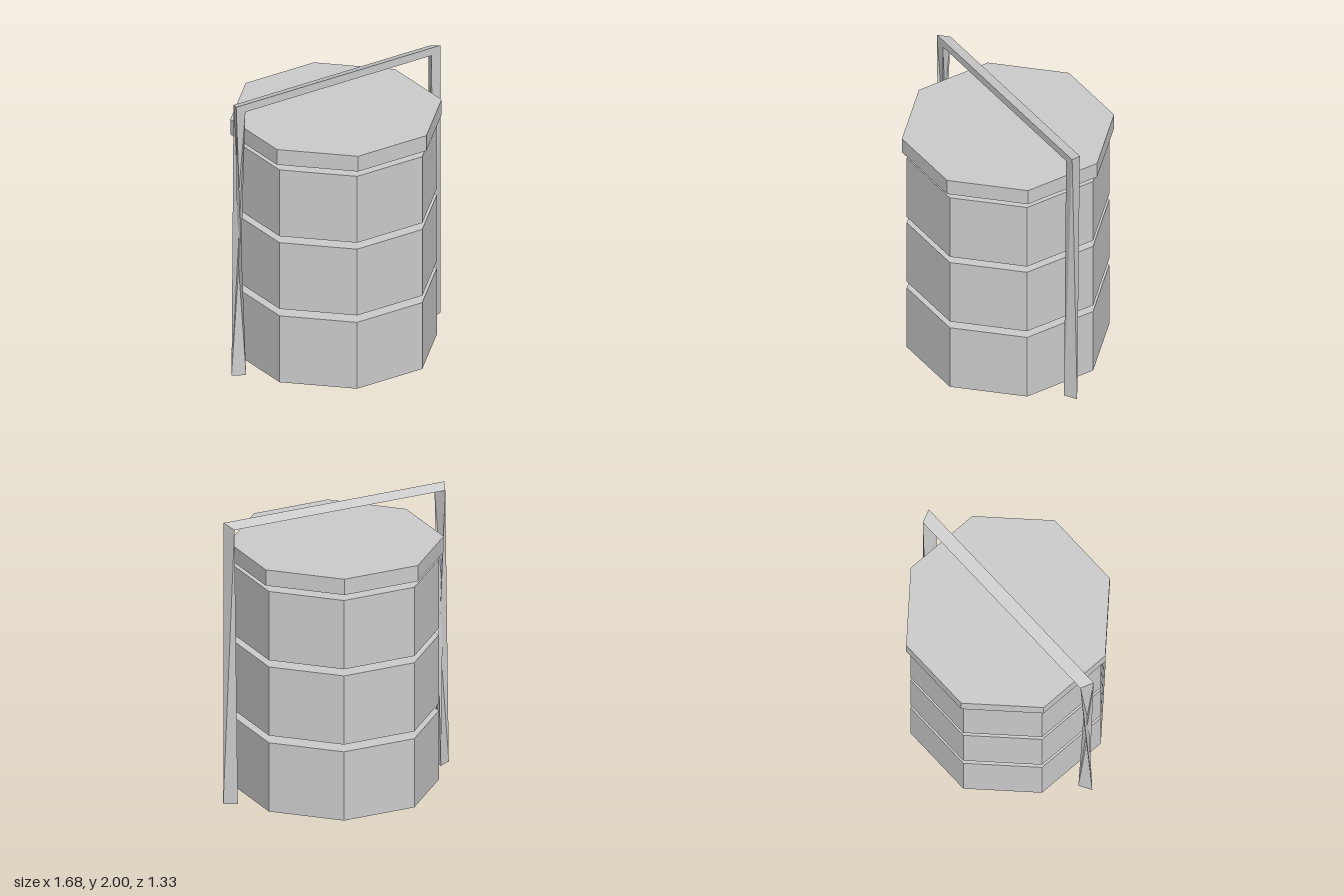
import * as THREE from 'three';

const metal = new THREE.MeshStandardMaterial({ color: 0xcccccc });
metal.name = 'light grey metal';
const handleMetal = metal;
handleMetal.side = THREE.DoubleSide; // the thin twisted handle needs both sides

// Flat-sided octagonal drum with a flat face towards the front
function drum(name, apothem, y0, y1) {
  const r = apothem / Math.cos(Math.PI / 8);
  const indexed = new THREE.CylinderGeometry(r, r, y1 - y0, 8, 1).rotateY(Math.PI / 8);
  const geometry = indexed.toNonIndexed();
  geometry.computeVertexNormals();
  const mesh = new THREE.Mesh(geometry, metal);
  mesh.name = name;
  mesh.position.y = (y0 + y1) / 2;
  return mesh;
}

// Faceted bar through triangular cross-sections, capped at both ends
function loft(sections) {
  const pos = [];
  const tri = (...pts) => pts.forEach((p) => pos.push(...p));
  for (let i = 0; i + 1 < sections.length; i++) {
    const lo = sections[i], hi = sections[i + 1];
    for (let j = 0; j < 3; j++) {
      const k = (j + 1) % 3;
      tri(lo[j], hi[j], lo[k]);
      tri(lo[k], hi[j], hi[k]);
    }
  }
  tri(...sections[0]);
  tri(...[...sections[sections.length - 1]].reverse());
  const geometry = new THREE.BufferGeometry();
  geometry.setAttribute('position', new THREE.Float32BufferAttribute(pos, 3));
  geometry.computeVertexNormals();
  return geometry;
}

export function createModel() {
  const model = new THREE.Group();
  model.name = 'stackedFoodCarrier';

  // Three stacked containers and the wider lid
  [[0, 0.493], [0.545, 1.037], [1.085, 1.578]].forEach(([y0, y1], i) => {
    model.add(drum(`container${i + 1}`, 0.634, y0, y1));
  });
  model.add(drum('lid', 0.664, 1.63, 1.743));

  // Carrying handle: one leg nearly straight, the other twisted
  const foot = [[0.842, 0, 0], [0.758, 0, 0.049], [0.758, 0, -0.049]];
  const corner = [[0.824, 2, 0.028], [0.75, 1.944, 0.028], [0.787, 1.972, -0.057]];
  const mirror = (s) => s.map(([x, y, z]) => [-x, y, z]);
  const [a, b, c] = mirror(foot);
  const handle = new THREE.Mesh(loft([foot, corner, mirror(corner), [c, a, b]]), handleMetal);
  handle.name = 'handle';
  model.add(handle);

  return model;
}
